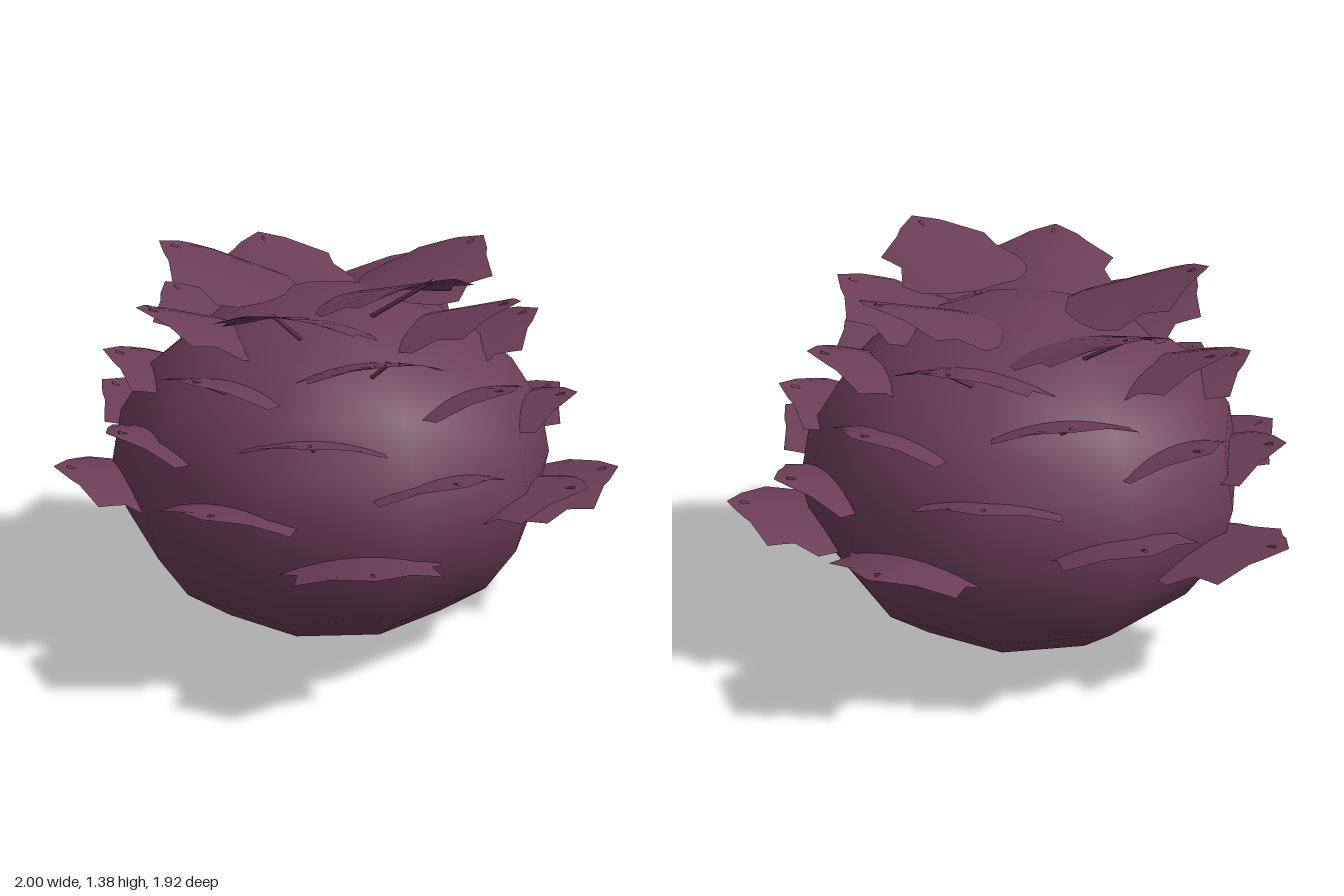
import * as THREE from 'three';

const LEAVES = 32;
const GOLDEN_ANGLE = THREE.MathUtils.degToRad(137.5);

// Scalloped leaf outline: distance back from the tip, half width there
const OUTLINE = [
  [0, 0.002], [0.05, 0.09], [0.08, 0.125], [0.14, 0.235], [0.18, 0.225],
  [0.23, 0.215], [0.31, 0.265], [0.38, 0.24], [0.44, 0.18], [0.49, 0.08],
];

// Leaf blade arching smoothly down on both sides of the midrib
function bladeGeometry() {
  const columns = 8;
  const geometry = new THREE.PlaneGeometry(2, 1, columns, OUTLINE.length - 1);
  const p = geometry.attributes.position;
  for (let i = 0; i < p.count; i++) {
    const [back, halfWidth] = OUTLINE[Math.floor(i / (columns + 1))];
    const out = p.getX(i) * halfWidth;
    p.setXYZ(i, -back, -0.75 * out * out, -out);
  }
  geometry.computeVertexNormals();
  return geometry;
}

// Thin round rib, its end just piercing the blade and its foot running into the core
function ribGeometry() {
  const from = new THREE.Vector3(-0.045, 0.003, 0);
  const to = new THREE.Vector3(-0.42, -0.09, 0);
  const geometry = new THREE.CylinderGeometry(0.006, 0.008, from.distanceTo(to), 6);
  const dir = from.clone().sub(to).normalize();
  geometry.applyQuaternion(new THREE.Quaternion().setFromUnitVectors(new THREE.Vector3(0, 1, 0), dir));
  const mid = from.add(to).multiplyScalar(0.5);
  return geometry.translate(mid.x, mid.y, mid.z);
}

export function createModel() {
  const model = new THREE.Group();
  model.name = 'leafyBulb';
  const plum = new THREE.MeshStandardMaterial({ color: 0x6b3d56, side: THREE.DoubleSide });
  plum.name = 'plum';

  const plant = new THREE.Group();
  plant.name = 'plant';
  plant.position.set(-0.04, 0, -0.04);
  model.add(plant);

  // Squashed, coarse but smooth-shaded core
  const core = new THREE.Mesh(new THREE.SphereGeometry(1, 10, 10), plum);
  core.name = 'core';
  core.scale.set(0.78, 0.605, 0.79);
  core.position.y = 0.605;
  plant.add(core);

  // Leaves spiral upward and inward by the golden angle, steeper toward the top
  const blade = bladeGeometry();
  const rib = ribGeometry();
  for (let i = 0; i < LEAVES; i++) {
    const spoke = new THREE.Group();
    spoke.name = 'leafSpoke';
    spoke.rotation.y = i * GOLDEN_ANGLE;
    const leaf = new THREE.Group();
    leaf.name = 'leaf';
    leaf.position.set(1.035 - 0.014 * i, 0.54 + 0.0272 * i, 0);
    leaf.rotation.z = 0.16 + 0.0045 * i;
    for (const [geometry, name] of [[blade, 'leafBlade'], [rib, 'midrib']]) {
      const mesh = new THREE.Mesh(geometry, plum);
      mesh.name = name;
      leaf.add(mesh);
    }
    spoke.add(leaf);
    plant.add(spoke);
  }
  return model;
}
